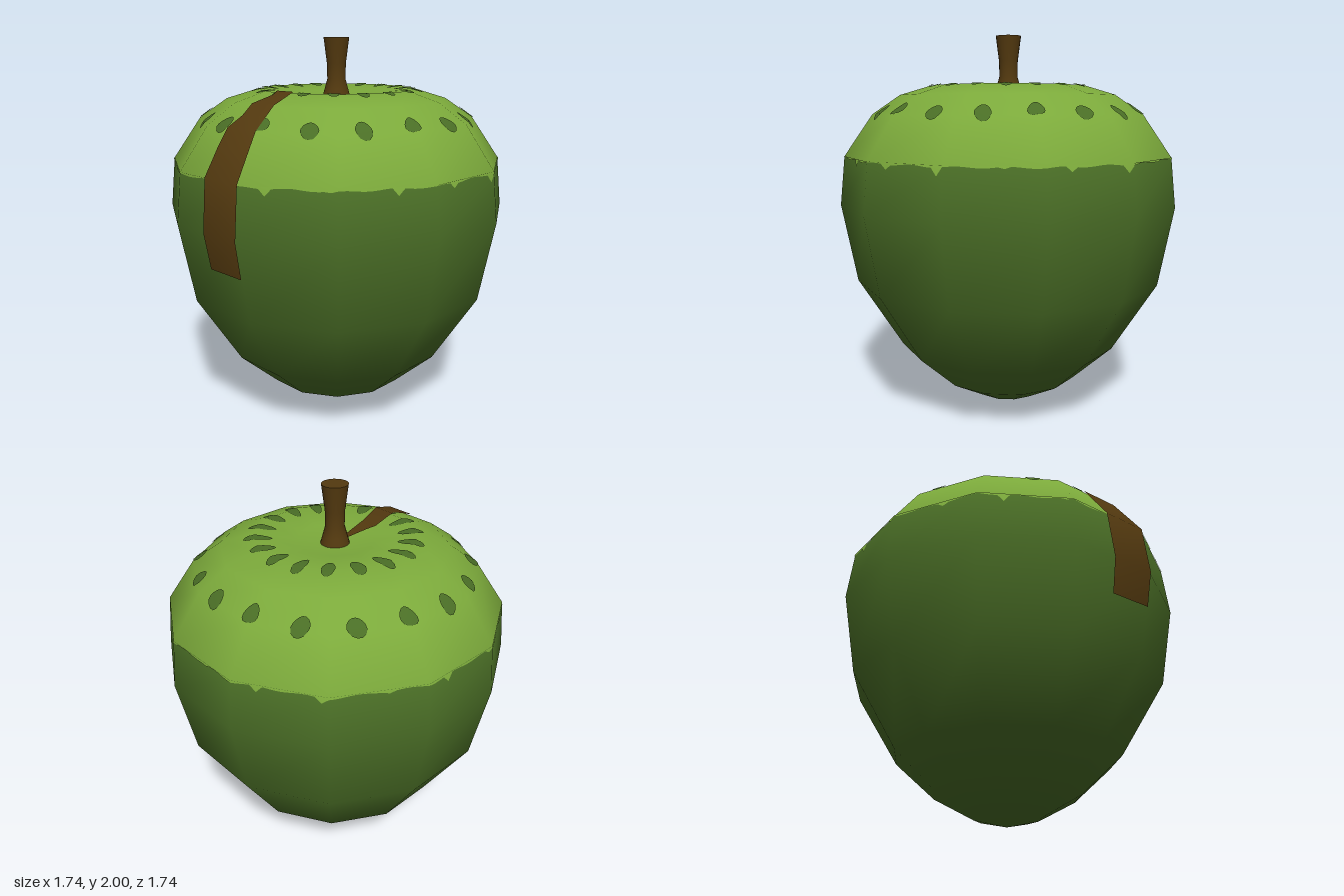
import * as THREE from 'three';
import { mergeGeometries } from 'three/addons/utils/BufferGeometryUtils.js';

const RAD = Math.PI / 180;
const material = (name, color) => {
  const m = new THREE.MeshStandardMaterial({ color });
  m.name = name;
  return m;
};

// Fruit profile [radius, height] from the top dimple to the bottom tip
const PROFILE = [
  [0, 1.69], [0.2, 1.715], [0.412, 1.74], [0.577, 1.69], [0.722, 1.59], [0.87, 1.375],
  [0.897, 1.12], [0.82, 0.71], [0.588, 0.34], [0.376, 0.15], [0.17, 0.04], [0, 0],
];
const LAST = PROFILE.length - 1;
const CORNER = 14; // degrees, first corner of the twelve-sided cross-section

// Smooth profile normals at each ring
const NORMALS = PROFILE.map((p, i) => {
  if (i === 0) return [0, 1];
  if (i === LAST) return [0, -1];
  const sum = new THREE.Vector2();
  for (const k of [i - 1, i]) {
    const [a, b] = [PROFILE[k], PROFILE[k + 1]];
    sum.add(new THREE.Vector2(a[1] - b[1], b[0] - a[0]).normalize());
  }
  sum.normalize();
  return [sum.x, sum.y];
});

const sample = (table, s) => {
  const i = Math.min(LAST - 1, Math.floor(s)), t = s - i;
  return [0, 1].map((k) => table[i][k] * (1 - t) + table[i + 1][k] * t);
};

// Radius of the twelve-sided outline relative to its corners
const facet = (deg) => {
  const d = ((((deg - CORNER) % 30) + 30) % 30) - 15;
  return Math.cos(15 * RAD) / Math.cos(d * RAD);
};

// Profile position for a radius on the upper half
const ringAt = (r) => {
  let i = 0;
  while (i < 5 && PROFILE[i + 1][0] < r) i++;
  return i + (r - PROFILE[i][0]) / (PROFILE[i + 1][0] - PROFILE[i][0]);
};

// Skin patch: f(i, j) gives [angle in degrees, profile position]
function patch(nu, nv, lift, f) {
  const pos = [], nor = [], index = [];
  for (let j = 0; j <= nv; j++) {
    for (let i = 0; i <= nu; i++) {
      const [deg, s] = f(i, j);
      const [r, y] = sample(PROFILE, s);
      const n = new THREE.Vector2(...sample(NORMALS, s)).normalize();
      const c = Math.cos(deg * RAD), d = Math.sin(deg * RAD);
      const rr = r * facet(deg) + n.x * lift;
      pos.push(rr * c, y + n.y * lift, rr * d);
      nor.push(n.x * c, n.y, n.x * d);
      if (i < nu && j < nv) {
        const a = j * (nu + 1) + i, b = a + nu + 1;
        index.push(a, a + 1, b + 1, a, b + 1, b);
      }
    }
  }
  const g = new THREE.BufferGeometry();
  g.setAttribute('position', new THREE.Float32BufferAttribute(pos, 3));
  g.setAttribute('normal', new THREE.Float32BufferAttribute(nor, 3));
  g.setIndex(index);
  return g;
}

// Ring of oval spots lying on the skin
function spotRing(count, start, radius, halfLength, halfWidth) {
  const spots = [];
  for (let k = 0; k < count; k++) {
    const angle = (start + (k * 360) / count) * RAD;
    spots.push(patch(14, 5, 0.005, (i, j) => {
      const phi = (i / 14) * Math.PI * 2;
      const rho = (j / 5) * (1 + 0.08 * Math.sin(2 * phi + k * 1.7));
      const out = radius + halfLength * rho * Math.cos(phi);
      const side = halfWidth * rho * Math.sin(phi) * (1 + 0.2 * Math.cos(phi));
      const deg = angle / RAD + Math.atan2(side, out) / RAD;
      return [deg, ringAt(Math.hypot(out, side) / facet(deg))];
    }));
  }
  return mergeGeometries(spots);
}

export function createModel() {
  const lightGreen = material('light green', 0x7caa3b);
  const darkGreen = material('dark green', 0x4a6e26);
  const brown = material('brown', 0x53390f);

  const group = new THREE.Group();
  group.name = 'fruit';
  const add = (name, geometry, mat) => {
    const mesh = new THREE.Mesh(geometry, mat);
    mesh.name = name;
    group.add(mesh);
  };

  // Body: light cap above, dark skin below
  add('cap', patch(12, 5, 0, (i, j) => [CORNER + i * 30, j]), lightGreen);
  add('lowerSkin', patch(12, 6, 0, (i, j) => [CORNER + i * 30, 5 + j]), darkGreen);

  // Ragged drips along the lower edge of the cap
  add('capDrips', patch(360, 1, 0.003, (i, j) => {
    const deg = CORNER + i;
    const k = Math.round((deg - 6) / 20);
    const d = Math.abs(deg - 6 - k * 20);
    const size = 0.022 + 0.016 * Math.sin((k % 18) * 2.3);
    const depth = 0.007 + 0.004 * Math.sin(deg * 23 * RAD) + size * Math.max(0, 1 - d / 2);
    return [deg, 5 + (j * depth) / 0.255];
  }), lightGreen);

  // Two rings of spots on the cap
  add('innerSpots', spotRing(18, 6.5, 0.38, 0.07, 0.031), darkGreen);
  add('outerSpots', spotRing(18, 14.5, 0.68, 0.038, 0.042), darkGreen);

  // Brown streak running from the stem down the front: [profile position, right, left]
  const streak = [
    [0.2, 76, 100], [1, 77, 98], [1.25, 77, 99], [2, 74.5, 91], [2.3, 74.2, 87.6], [3, 74.2, 90],
    [3.5, 74.2, 88.7], [4, 74.2, 90.5], [4.4, 74.2, 90.7], [5, 74.2, 90], [6, 74.2, 89.5], [6.44, 74.2, 89.3],
  ];
  add('streak', patch(1, streak.length - 1, 0.008, (i, j) => [streak[j][1 + i], streak[j][0]]), brown);

  // Flared stem with a flat top
  const side = [[0.077, 1.685], [0.062, 1.74], [0.048, 1.79], [0.05, 1.87], [0.067, 2]];
  add('stem', new THREE.LatheGeometry(side.map((p) => new THREE.Vector2(...p)), 20), brown);
  const top = new THREE.CircleGeometry(0.067, 20);
  top.rotateX(-Math.PI / 2).translate(0, 2, 0);
  add('stemTop', top, brown);

  return group;
}
